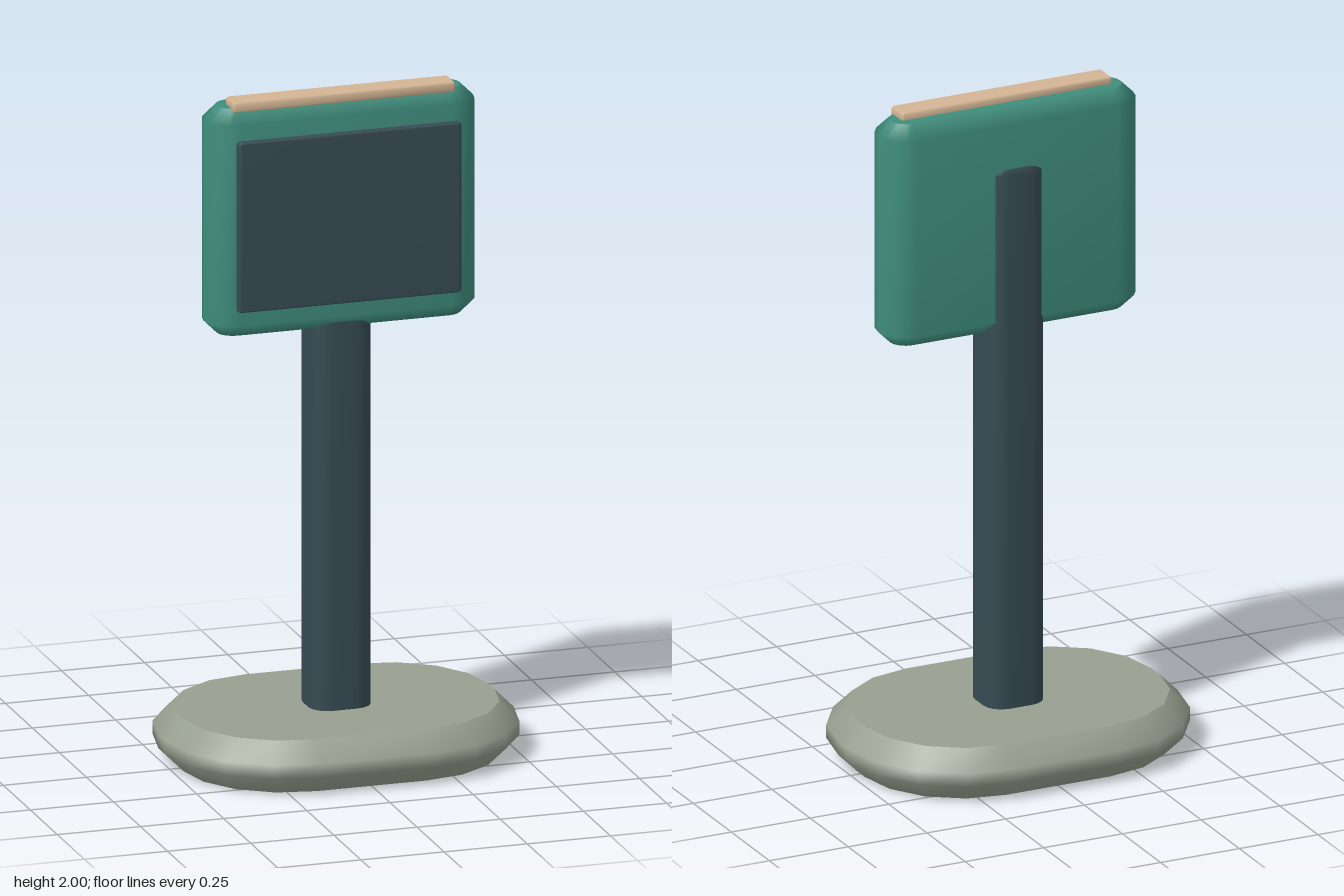
import * as THREE from 'three';

const material = (name, color) => {
  const m = new THREE.MeshStandardMaterial({ color });
  m.name = name;
  return m;
};

// Rounded-rectangle outline: half sizes hx, hz and corner radius r
function outline(hx, hz, r, steps) {
  const pts = [];
  const corners = [[1, 1], [-1, 1], [-1, -1], [1, -1]];
  corners.forEach(([sx, sz], q) => {
    for (let i = 0; i <= steps; i++) {
      const a = (q + i / steps) * Math.PI / 2;
      pts.push([sx * (hx - r) + r * Math.cos(a), sz * (hz - r) + r * Math.sin(a)]);
    }
  });
  return pts;
}

// Upright slab with bevelled rims: smooth wall, crisp flat caps
function slab({ hx, hz, r, y0, y1, bevel, steps = 4 }) {
  const levels = [[y0, bevel], [y0 + bevel, 0], [y1 - bevel, 0], [y1, bevel]];
  const rings = levels.map(([y, inset]) =>
    outline(hx - inset, hz - inset, r - inset, steps).map(([x, z]) => [x, y, z]));
  const n = rings[0].length;
  const pos = rings.flat(2);
  const idx = [];
  for (let k = 0; k < 3; k++) {
    for (let i = 0; i < n; i++) {
      const a = k * n + i, b = k * n + (i + 1) % n;
      idx.push(a, a + n, b, b, a + n, b + n);
    }
  }
  // Caps use their own vertices so their edges stay sharp
  [rings[0], rings[3]].forEach((ring, top) => {
    const s = pos.length / 3;
    pos.push(...ring.flat());
    for (let i = 1; i < n - 1; i++) {
      if (top) idx.push(s, s + i + 1, s + i);
      else idx.push(s, s + i, s + i + 1);
    }
  });
  const g = new THREE.BufferGeometry();
  g.setAttribute('position', new THREE.Float32BufferAttribute(pos, 3));
  g.setIndex(idx);
  g.computeVertexNormals();
  return g;
}

export function createModel() {
  const model = new THREE.Group();
  model.name = 'displayStand';
  const stone = material('stoneGrey', 0x98a090);
  const slate = material('darkSlate', 0x364b53);
  const green = material('tealGreen', 0x3f8d7c);
  const tan = material('warmTan', 0xd4b594);

  const add = (name, mat, spec, z = 0) => {
    const mesh = new THREE.Mesh(slab(spec), mat);
    mesh.name = name;
    mesh.position.z = z;
    model.add(mesh);
  };

  // Foot and post
  add('base', stone, { hx: 0.525, hz: 0.387, r: 0.36, y0: 0, y1: 0.155, bevel: 0.057 });
  add('post', slate, { hx: 0.092, hz: 0.084, r: 0.056, y0: 0.12, y1: 1.81, bevel: 0.02 });

  // Head with its screen and top strip
  add('housing', green, { hx: 0.405, hz: 0.088, r: 0.0875, y0: 1.3, y1: 1.98, bevel: 0.04 }, 0.019);
  add('screen', slate, { hx: 0.337, hz: 0.015, r: 0.012, y0: 1.387, y1: 1.895, bevel: 0.006 }, 0.121);
  add('topStrip', tan, { hx: 0.335, hz: 0.038, r: 0.01, y0: 1.97, y1: 2, bevel: 0.005 }, 0.042);
  return model;
}
